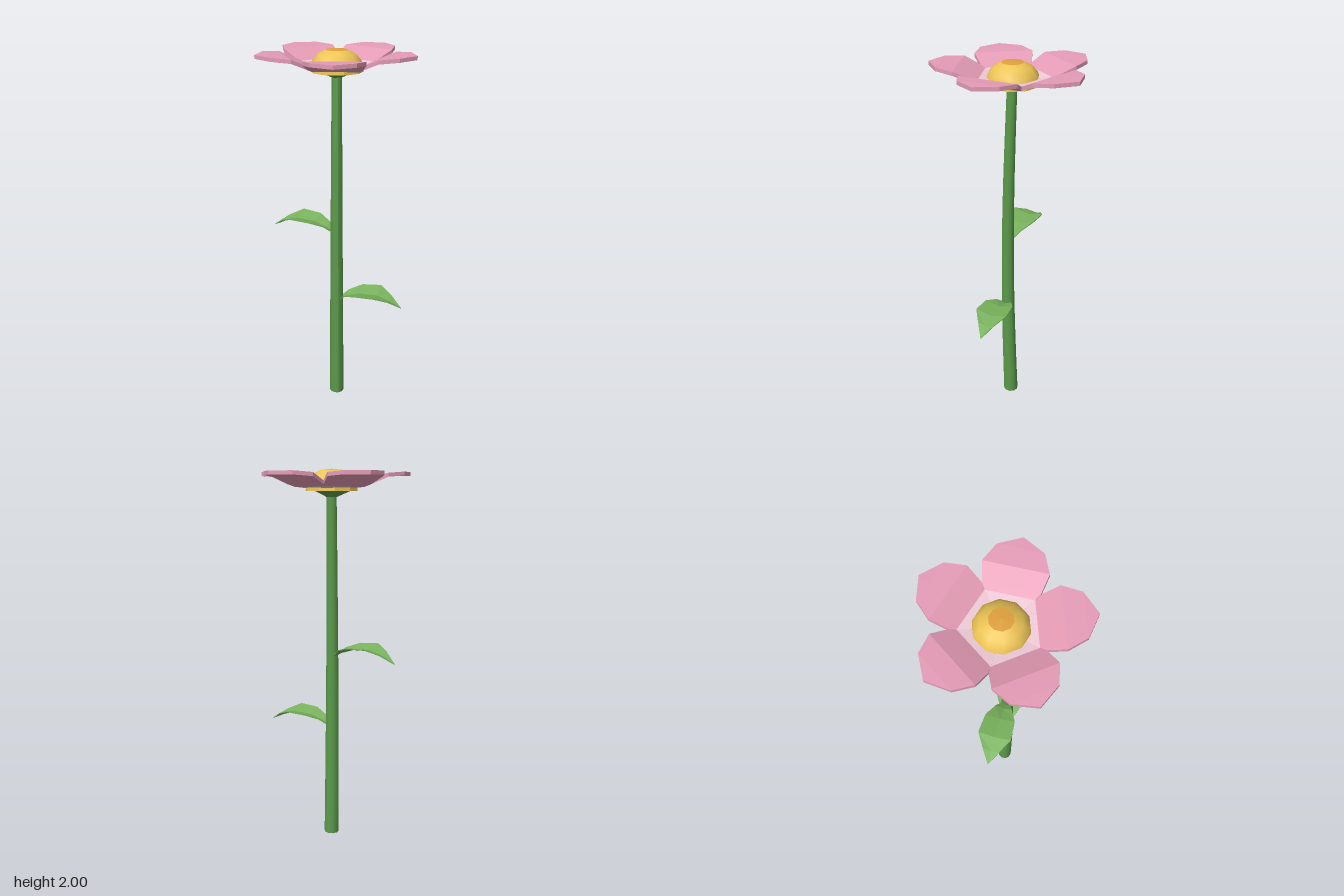
import * as THREE from 'three';

const CZ = -0.033; // flower axis in z

function mesh(name, geometry, color, flat = true) {
  const m = new THREE.Mesh(geometry, new THREE.MeshStandardMaterial({ color, flatShading: flat }));
  m.name = name;
  return m;
}

// Closed flat-faced blade running along +z.
// rows: [z, half width, middle y, edge y]
function blade(rows, thickness) {
  const top = rows.map(([z, h, ym, ye]) => [
    new THREE.Vector3(-h, ye, z), new THREE.Vector3(0, ym, z), new THREE.Vector3(h, ye, z)]);
  const under = (p) => new THREE.Vector3(p.x, p.y - thickness, p.z);
  const pos = [];
  const tri = (a, b, c) => {
    const area = b.clone().sub(a).cross(c.clone().sub(a)).length();
    if (area > 1e-8) for (const p of [a, b, c]) pos.push(p.x, p.y, p.z);
  };
  const quad = (a, b, c, d) => { tri(a, b, c); tri(a, c, d); };

  const n = rows.length - 1;
  for (let i = 0; i < n; i++) {
    for (let j = 0; j < 2; j++) {
      const a = top[i][j], b = top[i + 1][j], c = top[i + 1][j + 1], d = top[i][j + 1];
      quad(a, b, c, d);
      quad(under(d), under(c), under(b), under(a));
    }
  }
  // rim wall round the outline
  const loop = [...top.map((r) => r[0]), top[n][1], ...top.map((r) => r[2]).reverse(), top[0][1]];
  loop.forEach((p, i) => {
    const q = loop[(i + 1) % loop.length];
    quad(p, under(p), under(q), q);
  });
  const g = new THREE.BufferGeometry();
  g.setAttribute('position', new THREE.Float32BufferAttribute(pos, 3));
  g.computeVertexNormals();
  return g;
}

// Ten-sided turned part from [radius, y] points
function turned(name, profile, color, flat) {
  const pts = profile.map(([r, y]) => new THREE.Vector2(r, y));
  return mesh(name, new THREE.LatheGeometry(pts, 10, Math.PI / 10), color, flat);
}

// Gently bowed, tapering stem
function makeStem() {
  const H = 1.88;
  const g = new THREE.CylinderGeometry(1, 1, H, 10, 12, false, Math.PI / 10);
  g.translate(0, H / 2, 0);
  const p = g.attributes.position;
  for (let i = 0; i < p.count; i++) {
    const y = p.getY(i), t = y / H;
    const r = 0.041 - 0.015 * t;
    p.setXYZ(i, p.getX(i) * r, y, p.getZ(i) * r - 0.03 + 0.02 * Math.sin(Math.PI * t));
  }
  g.computeVertexNormals();
  return mesh('stem', g, 0x5c9a4a, false);
}

// Five-pointed calyx under the bloom, narrowing to the stem
function makeCalyx() {
  const g = new THREE.CylinderGeometry(1, 1, 0.035, 10, 1);
  const p = g.attributes.position;
  for (let i = 0; i < p.count; i++) {
    const x = p.getX(i), z = p.getZ(i), upper = p.getY(i) > 0;
    const k = Math.round(Math.atan2(x, z) / (Math.PI / 5));
    const r = upper ? (k % 2 === 0 ? 0.1 : 0.055) : 0.027;
    p.setXYZ(i, x * r, upper ? 1.891 : 1.86, z * r);
  }
  g.computeVertexNormals();
  return mesh('calyx', g, 0x5c9a4a);
}

export function createModel() {
  const model = new THREE.Group();
  model.name = 'flower';
  model.add(makeStem());

  // Leaves, folded along the midrib
  const leafGeo = blade([
    [0.01, 0.012, 0, 0.005], [0.06, 0.045, 0.03, 0.048], [0.13, 0.08, 0.053, 0.073],
    [0.235, 0.088, 0.058, 0.08], [0.305, 0.045, 0.035, 0.05], [0.372, 0, 0.002, 0.002]], 0.005);
  for (const [name, y, angle] of [['lowerLeaf', 0.62, 75], ['upperLeaf', 1.02, 250]]) {
    const leaf = mesh(name, leafGeo, 0x78b25c);
    leaf.position.set(0, y, -0.013);
    leaf.rotation.y = THREE.MathUtils.degToRad(angle);
    model.add(leaf);
  }

  const bloom = new THREE.Group();
  bloom.name = 'bloom';
  bloom.position.z = CZ;
  model.add(bloom);

  // Petals with their pale inner bases
  const petalGeo = blade([
    [0.153, 0.111, 1.93, 1.93], [0.18, 0.13, 1.942, 1.942], [0.263, 0.149, 1.978, 1.978],
    [0.353, 0.107, 1.985, 1.985], [0.411, 0, 1.985, 1.985]], 0.019);
  const baseGeo = blade([[0.05, 0.036, 1.915, 1.915], [0.153, 0.111, 1.93, 1.93]], 0.019);
  for (let i = 0; i < 5; i++) {
    const petal = new THREE.Group();
    petal.name = 'petal';
    petal.rotation.y = (i * 2 * Math.PI) / 5;
    petal.add(mesh('petalBlade', petalGeo, 0xe59cb6), mesh('petalBase', baseGeo, 0xf0cbd8));
    bloom.add(petal);
  }

  // Domed centre
  bloom.add(
    turned('centreRim', [[0, 1.89], [0.135, 1.89], [0.133, 1.912]], 0xecc455, true),
    turned('centreDome', [[0.133, 1.912], [0.122, 1.945], [0.095, 1.976], [0.056, 1.995]], 0xecc455, false),
    turned('centreTip', [[0.056, 1.995], [0, 2]], 0xe0a03c, true),
    makeCalyx());

  return model;
}
